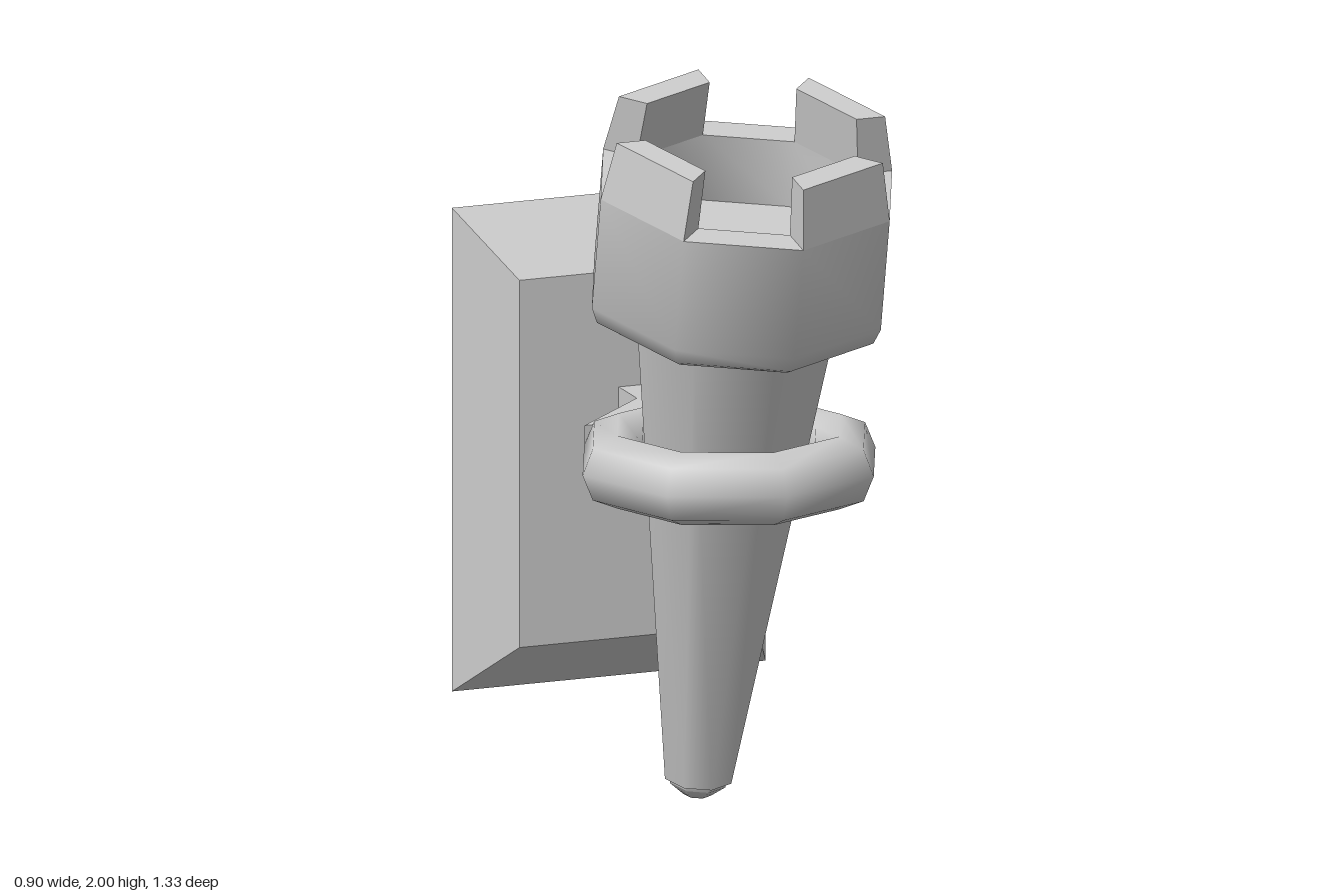
import * as THREE from 'three';
import { toCreasedNormals } from 'three/addons/utils/BufferGeometryUtils.js';

const grey = new THREE.MeshStandardMaterial({ color: 0xcccccc });
const greyThin = new THREE.MeshStandardMaterial({ color: 0xcccccc, side: THREE.DoubleSide });

function part(name, geometry, material = grey) {
  const mesh = new THREE.Mesh(geometry, material);
  mesh.name = name;
  return mesh;
}

// Flat-faced skin through rings of four corners, with optional end caps
function loft(rings, capStart = true, capEnd = true) {
  const pos = [];
  const quad = (a, b, c, d) => pos.push(...a, ...b, ...c, ...a, ...c, ...d);
  for (let i = 0; i < rings.length - 1; i++) {
    for (let j = 0; j < 4; j++) {
      const k = (j + 1) % 4;
      quad(rings[i][j], rings[i][k], rings[i + 1][k], rings[i + 1][j]);
    }
  }
  if (capStart) quad(...[...rings[0]].reverse());
  if (capEnd) quad(...rings[rings.length - 1]);
  const geometry = new THREE.BufferGeometry();
  geometry.setAttribute('position', new THREE.Float32BufferAttribute(pos, 3));
  geometry.computeVertexNormals();
  return geometry;
}

// Upright rectangle facing +z
const rect = (cx, cy, w, h, z) => [
  [cx - w, cy - h, z], [cx + w, cy - h, z], [cx + w, cy + h, z], [cx - w, cy + h, z],
];

// Eight-sided turned shape from [radius, height] pairs
function turned(profile) {
  const points = profile.map(([r, y]) => new THREE.Vector2(r, y));
  return toCreasedNormals(new THREE.LatheGeometry(points, 8), 0.9);
}

// Corners of one eighth of a ring, used for the raised teeth of the cup
function toothRing(phi, outer, inner, y) {
  const end = phi + Math.PI / 4;
  return [[outer, phi], [outer, end], [inner, end], [inner, phi]]
    .map(([r, a]) => [r * Math.sin(a), y, r * Math.cos(a)]);
}

export function createModel() {
  const model = new THREE.Group();
  model.name = 'wallTorch';

  // Wall plate: tapered tray, open at the back
  model.add(part('wallPlate', loft([
    rect(0, 0.865, 0.45, 0.665, -0.66),
    rect(0, 0.865, 0.34, 0.505, -0.45),
  ], false, true), greyThin));

  // Holder: ring with an arm that flares into it and pokes through the plate
  const ringY = 0.975;
  const ring = part('holderRing', new THREE.TorusGeometry(0.32, 0.1, 8, 8).rotateX(Math.PI / 2));
  ring.position.set(0.03, ringY, 0.13);
  model.add(ring);
  model.add(part('holderArm', loft([
    rect(0.03, ringY, 0.085, 0.075, -0.48),
    rect(0.03, ringY, 0.085, 0.075, -0.32),
    rect(0.03, ringY, 0.295, 0.055, -0.17),
  ], false, true), greyThin));

  // Torch: leans forward through the ring
  const torch = new THREE.Group();
  torch.name = 'torch';
  torch.position.set(0.03, 0.01, -0.1);
  torch.rotation.x = 0.2;
  model.add(torch);

  torch.add(part('shaft', turned([[0, 0.05], [0.096, 0.05], [0.285, 1.42]])));
  torch.add(part('shaftTip', turned([[0, 0], [0.04, 0], [0.08, 0.035], [0.08, 0.06]])));

  // Cup: rounded lower edge, hollow top with a sunken floor
  torch.add(part('cup', turned([
    [0.27, 1.4], [0.375, 1.41], [0.4, 1.425], [0.418, 1.47],
    [0.418, 1.79], [0.32, 1.79], [0.318, 1.6], [0, 1.6],
  ])));

  // Four teeth on alternate sides of the rim
  for (let i = 0; i < 4; i++) {
    const phi = i * Math.PI / 2;
    torch.add(part('cupTooth', loft([
      toothRing(phi, 0.418, 0.32, 1.79),
      toothRing(phi, 0.385, 0.303, 1.953),
    ])));
  }

  return model;
}
